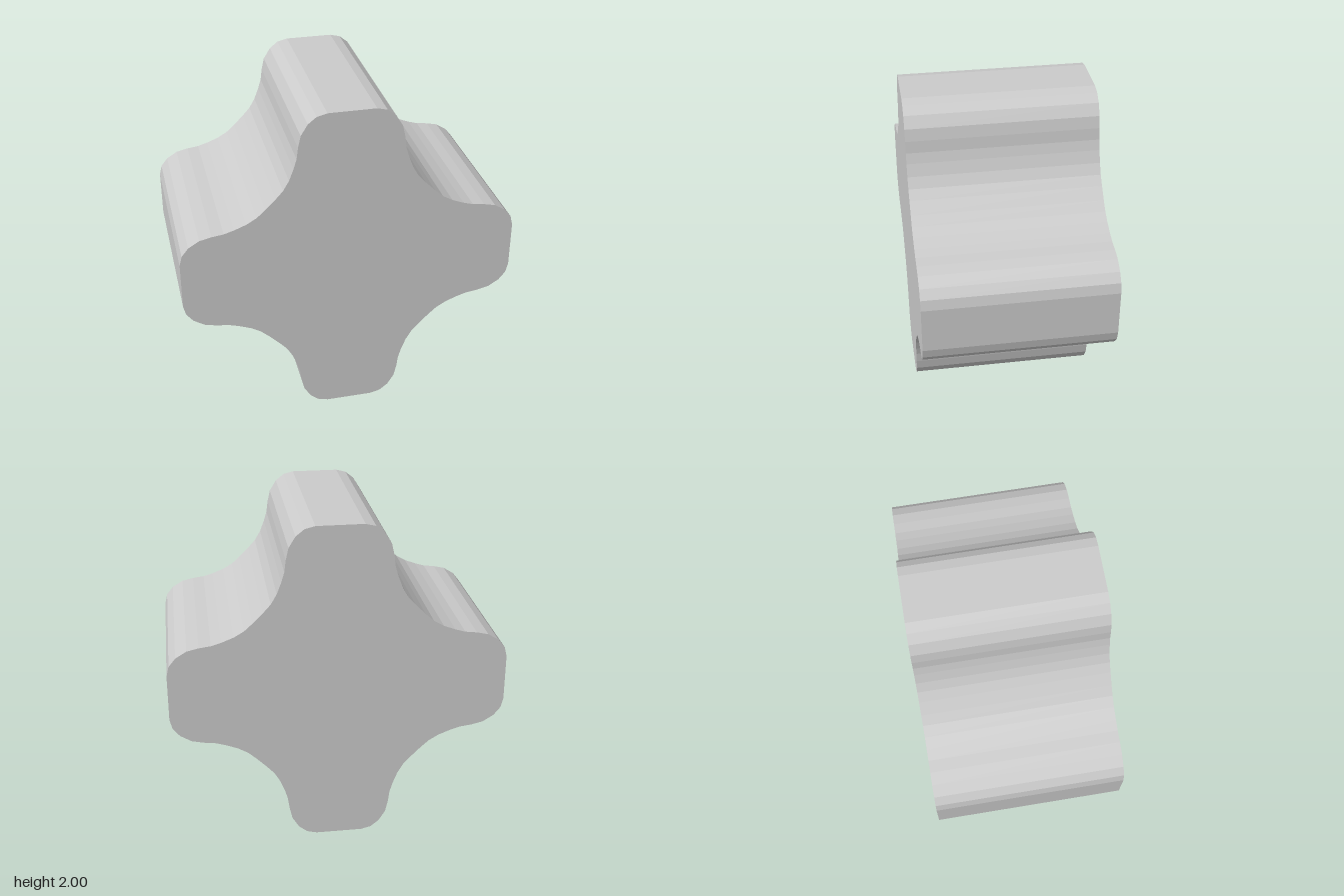
import * as THREE from 'three';

// Half of one arm's edge: from its flat end down to the diagonal valley
const HALF = [
  [0.14, 1], [0.2, 0.985], [0.25, 0.945], [0.29, 0.88], [0.306, 0.81],
  [0.315, 0.74], [0.333, 0.68], [0.36, 0.61], [0.395, 0.55], [0.44, 0.5],
];
const DEPTH = 1.12;

export function createModel() {
  const group = new THREE.Group();
  group.name = 'crossBlock';

  // Mirror across the diagonal for a full quadrant, then turn it four times
  const mirrored = HALF.map(([x, y]) => [y, x]).reverse();
  const quadrant = [...HALF, ...mirrored].map(([x, y]) => new THREE.Vector2(x, y));
  const outline = [];
  const centre = new THREE.Vector2();
  for (let i = 0; i < 4; i++) {
    for (const p of quadrant) {
      outline.push(p.clone().rotateAround(centre, -i * Math.PI / 2));
    }
  }

  // Rounded four-armed prism
  const geometry = new THREE.ExtrudeGeometry(new THREE.Shape(outline), {
    depth: DEPTH, bevelEnabled: false,
  });
  geometry.translate(0, 1, -DEPTH / 2);
  const material = new THREE.MeshStandardMaterial({ color: 0xcccccc, flatShading: true });
  const body = new THREE.Mesh(geometry, material);
  body.name = 'crossBody';
  group.add(body);
  return group;
}
